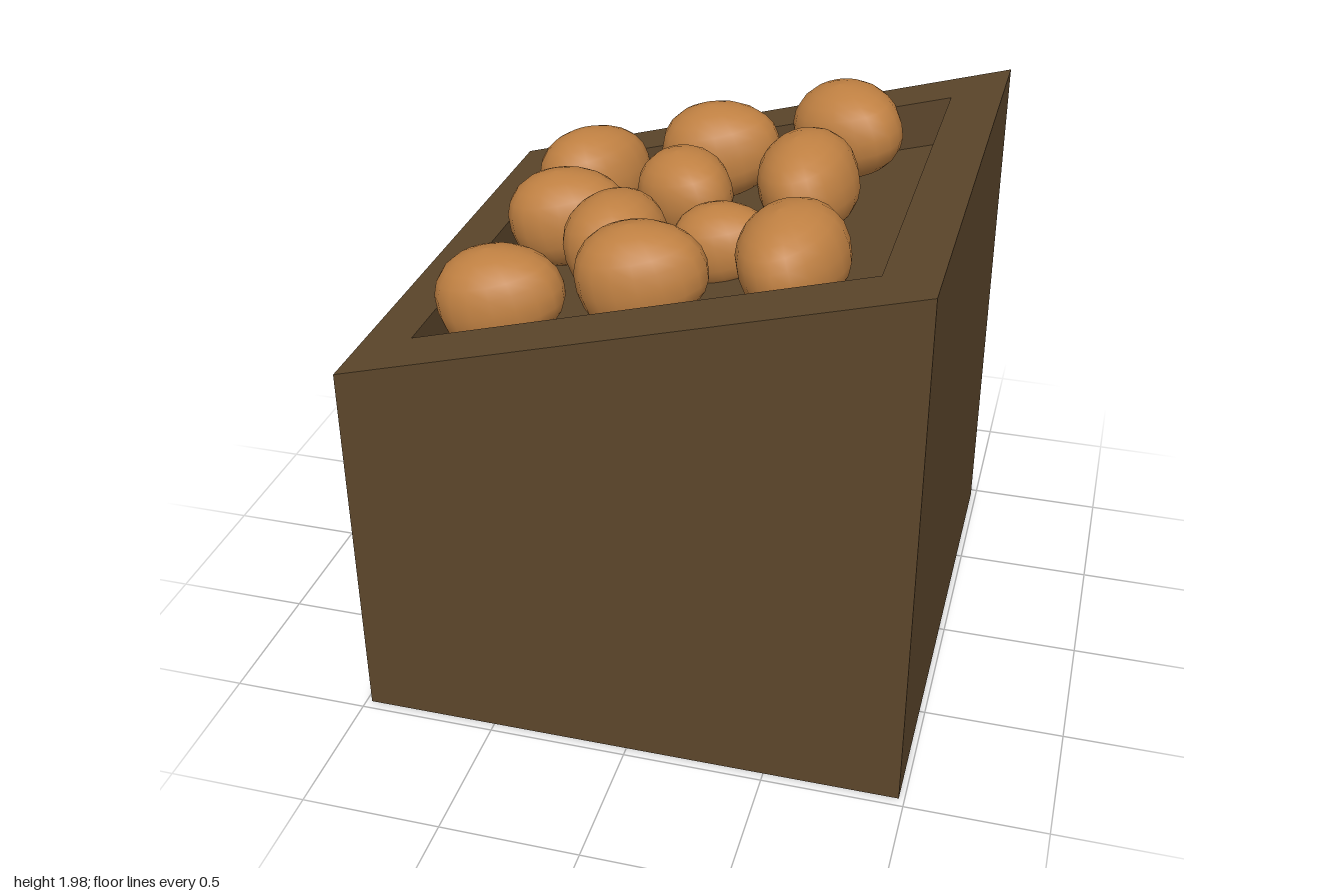
import * as THREE from 'three';

const SLOPE = 0.2806, DEPTH = 0.18;
const rimY = (x) => 1.67 + SLOPE * x;

export function createModel() {
  const group = new THREE.Group();
  const wood = new THREE.MeshStandardMaterial({ name: 'dark wood', color: 0x5c462b });
  const skin = new THREE.MeshStandardMaterial({ name: 'potato skin', color: 0xbf8042 });

  const add = (name, geometry, material) => {
    const mesh = new THREE.Mesh(geometry, material);
    mesh.name = name;
    group.add(mesh);
    return mesh;
  };

  // Remap heights: each vertex is placed by fn(x, isTop)
  const slant = (geometry, fn) => {
    const g = geometry.index ? geometry.toNonIndexed() : geometry;
    const p = g.attributes.position;
    for (let i = 0; i < p.count; i++) p.setY(i, fn(p.getX(i), p.getY(i) > 0.5));
    g.computeVertexNormals();
    return g;
  };

  // Solid lower body; its sloping top is the floor of the tray
  const body = new THREE.BoxGeometry(1.96, 1, 1.93).translate(0, 0.5, 0);
  add('crateBody', slant(body, (x, top) => (top ? rimY(x) - DEPTH : 0)), wood);

  // Sloping rim around the opening
  const rect = (path, w, h) => path.moveTo(-w, -h).lineTo(w, -h).lineTo(w, h).lineTo(-w, h).closePath();
  const frame = new THREE.Shape();
  rect(frame, 0.98, 0.965);
  const hole = new THREE.Path();
  rect(hole, 0.785, 0.757);
  frame.holes.push(hole);
  const rim = new THREE.ExtrudeGeometry(frame, { depth: 1, bevelEnabled: false }).rotateX(-Math.PI / 2);
  add('crateRim', slant(rim, (x, top) => rimY(x) - (top ? 0 : DEPTH)), wood);

  // Potato: a rounded, slightly boxy egg that narrows towards +x
  const potatoGeometry = new THREE.SphereGeometry(1, 18, 12);
  const p = potatoGeometry.attributes.position;
  for (let i = 0; i < p.count; i++) {
    const x = p.getX(i), y = p.getY(i), z = p.getZ(i);
    const taper = 1 - 0.13 * x;
    p.setXYZ(i, x, Math.sign(y) * Math.abs(y) ** 0.85 * taper, z * taper);
  }
  potatoGeometry.computeVertexNormals();
  // Blend normals across the sphere's seam
  const n = potatoGeometry.attributes.normal, row = 19;
  for (let r = 0; r <= 12; r++) {
    const a = r * row, b = a + row - 1;
    const v = new THREE.Vector3().fromBufferAttribute(n, a)
      .add(new THREE.Vector3().fromBufferAttribute(n, b)).normalize();
    n.setXYZ(a, v.x, v.y, v.z);
    n.setXYZ(b, v.x, v.y, v.z);
  }

  // x, z, half length, half height, half width, yaw in degrees, lift
  const potatoes = [
    [-0.55, -0.555, 0.228, 0.19, 0.185, 50, 0],
    [-0.05, -0.575, 0.23, 0.185, 0.185, 0, 0.01],
    [0.443, -0.56, 0.228, 0.18, 0.185, -40, 0.01],
    [-0.53, -0.155, 0.23, 0.18, 0.185, 0, 0],
    [-0.085, -0.2, 0.2, 0.165, 0.165, -45, 0],
    [0.38, -0.095, 0.235, 0.18, 0.178, -87, 0],
    [-0.245, 0.15, 0.232, 0.18, 0.185, 97, 0],
    [0.138, 0.14, 0.185, 0.145, 0.147, -8, -0.08],
    [-0.555, 0.505, 0.23, 0.18, 0.185, 0, 0],
    [-0.05, 0.505, 0.23, 0.185, 0.185, 0, 0.005],
    [0.455, 0.512, 0.233, 0.175, 0.185, -92, -0.01],
  ];
  potatoes.forEach(([x, z, a, h, b, yaw, lift], i) => {
    const potato = add(`potato${i + 1}`, potatoGeometry, skin);
    potato.position.set(x, rimY(x) + lift, z);
    potato.rotation.set(0, THREE.MathUtils.degToRad(yaw), Math.atan(SLOPE), 'ZYX');
    potato.scale.set(a, h, b);
  });

  return group;
}
